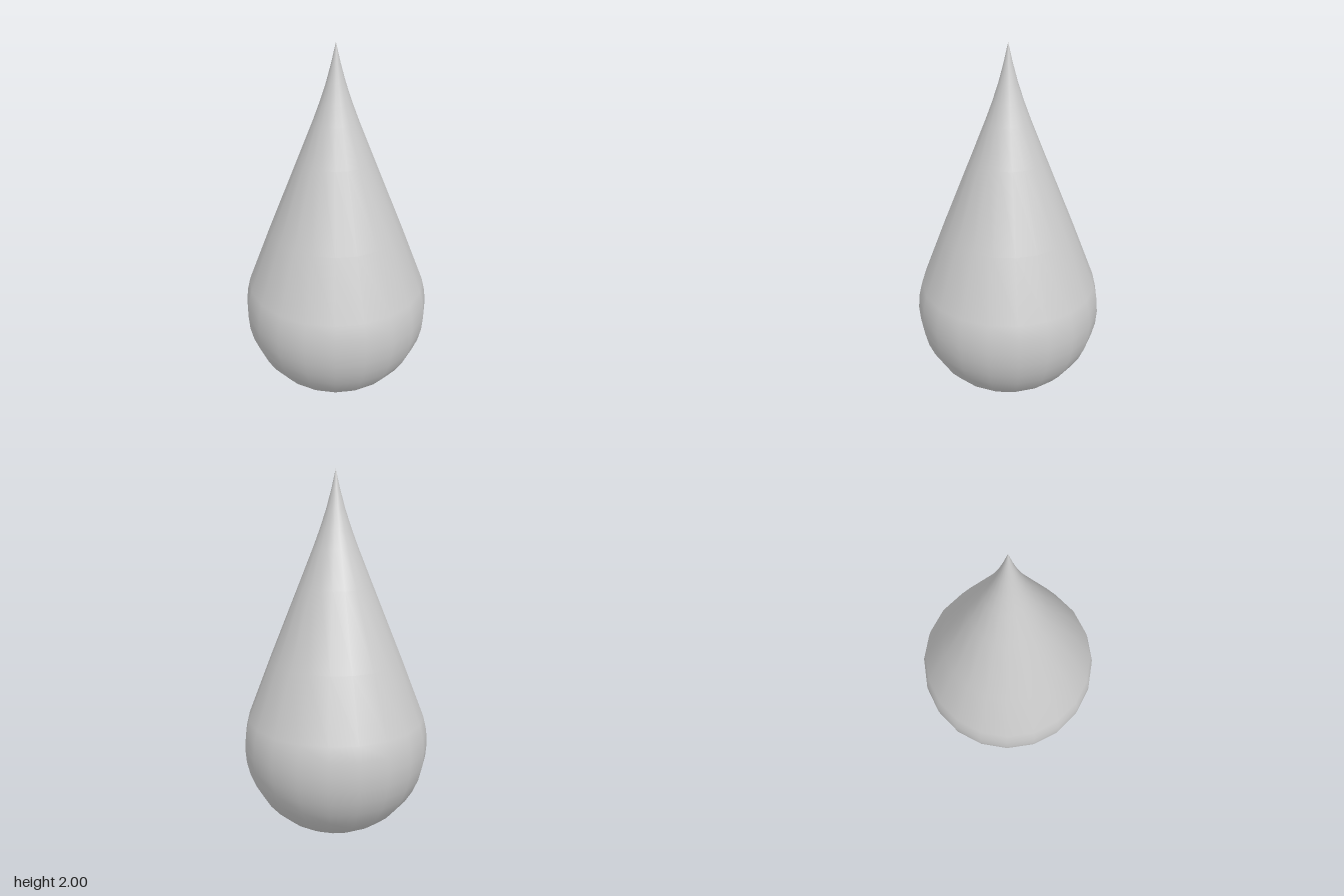
import * as THREE from 'three';

const SIDES = 20;
const RADIUS = 0.513;

export function createModel() {
  const group = new THREE.Group();
  group.name = 'teardrop';

  // Round belly: an arc from the bottom pole to 18 degrees above the equator
  const profile = [];
  for (let deg = -90; deg <= 18; deg += 9) {
    const a = THREE.MathUtils.degToRad(deg);
    const r = deg === -90 ? 0 : RADIUS * Math.cos(a);
    profile.push(new THREE.Vector2(r, RADIUS * (1 + Math.sin(a))));
  }

  // Straight neck, then a concave taper to the pointed tip
  const neck = [[0.361, 1], [0.2, 1.4], [0.12, 1.6], [0.083, 1.7], [0.05, 1.8], [0.023, 1.9], [0, 2]];
  for (const [r, y] of neck) profile.push(new THREE.Vector2(r, y));

  const drop = new THREE.Mesh(
    new THREE.LatheGeometry(profile, SIDES),
    new THREE.MeshStandardMaterial({ color: 0xcccccc })
  );
  drop.name = 'dropBody';
  group.add(drop);
  return group;
}
